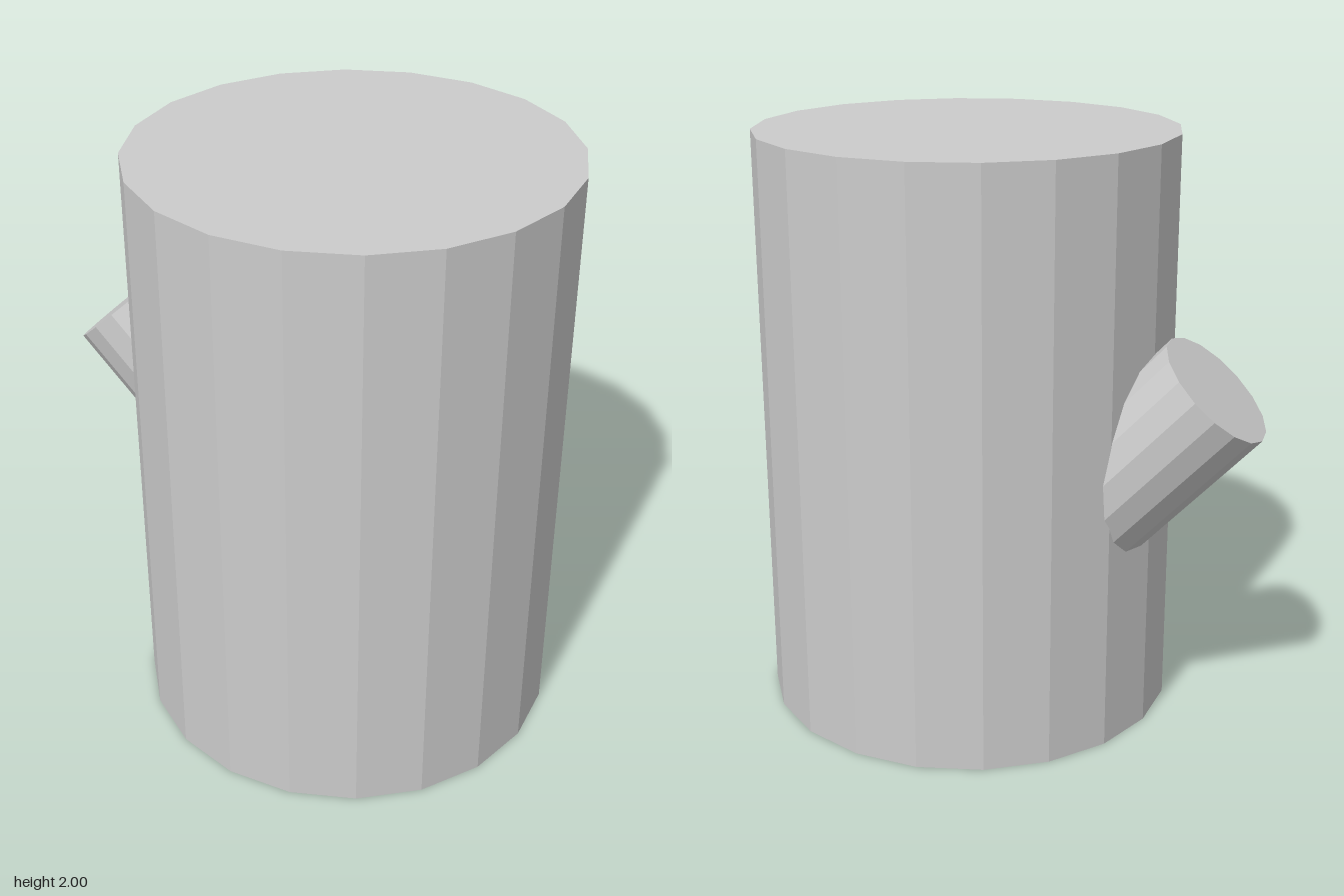
import * as THREE from 'three';

export function createModel() {
  const group = new THREE.Group();
  const material = new THREE.MeshStandardMaterial({ color: 0xcccccc, flatShading: true });

  // upright trunk
  const trunk = new THREE.Mesh(new THREE.CylinderGeometry(0.713, 0.713, 2, 20), material);
  trunk.name = 'trunk';
  trunk.position.set(0, 1, 0.16);
  group.add(trunk);

  // cut branch stub, rising out of the back of the trunk
  const length = 0.85;
  const tip = new THREE.Vector3(-0.31, 1.235, -0.71);
  const direction = new THREE.Vector3(-0.56, 1.24, -1).normalize();
  const branch = new THREE.Mesh(new THREE.CylinderGeometry(0.218, 0.218, length, 16), material);
  branch.name = 'branchStub';
  branch.quaternion.setFromUnitVectors(new THREE.Vector3(0, 1, 0), direction);
  branch.position.copy(tip).addScaledVector(direction, -length / 2);
  group.add(branch);

  return group;
}
